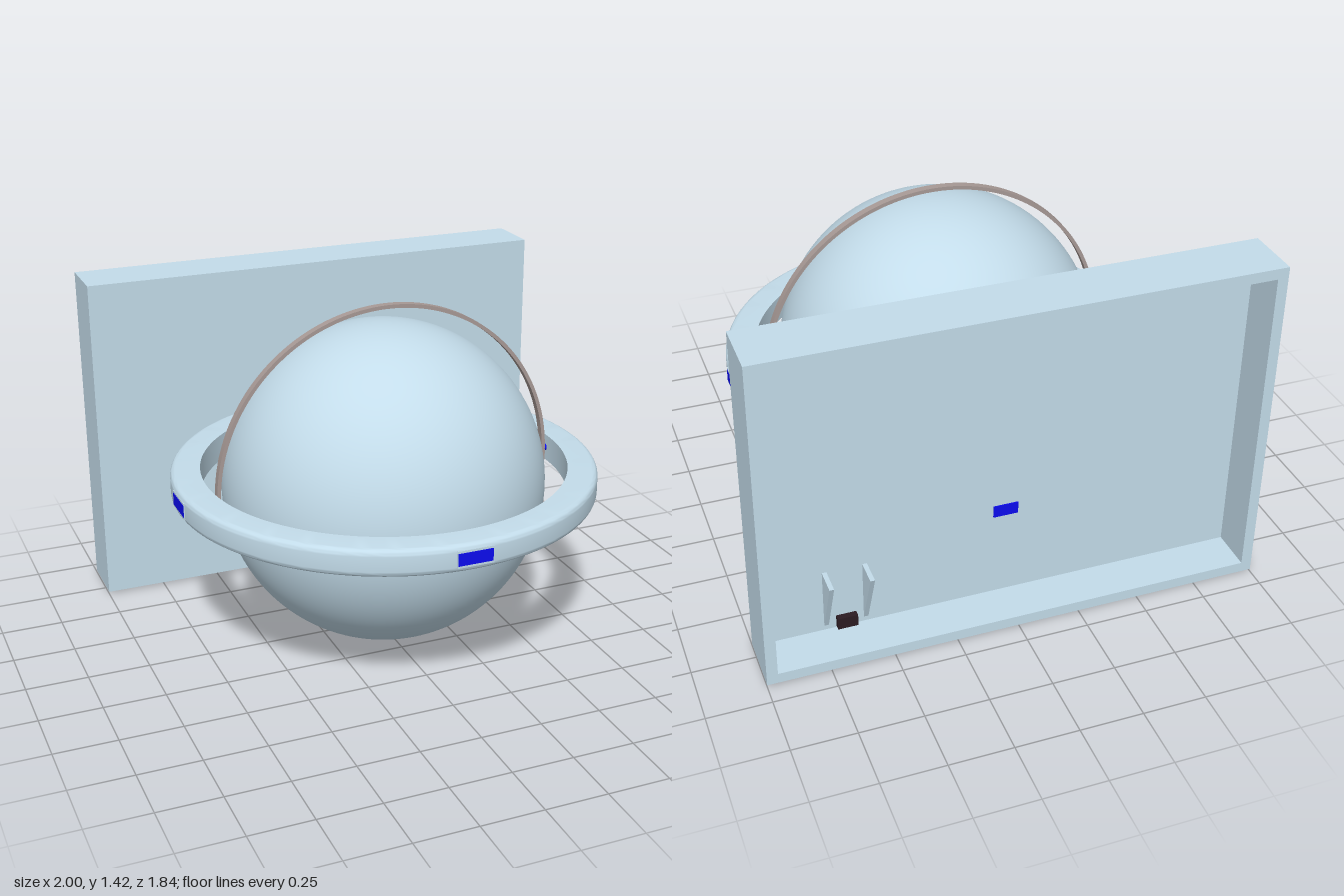
import * as THREE from 'three';
import { toCreasedNormals } from 'three/addons/utils/BufferGeometryUtils.js';

const mat = (color) => new THREE.MeshStandardMaterial({ color, side: THREE.DoubleSide });
const PALE = mat(0xc3dcea), BLUE = mat(0x0c0cf0), BROWN = mat(0xa89a96), GREY = mat(0xcccccc), DARK = mat(0x2c1c22);
const FACE = -0.685; // front face of the back panel

export function createModel() {
  const model = new THREE.Group();

  const add = (name, geo, material, x = 0, y = 0, z = 0, parent = model) => {
    const mesh = new THREE.Mesh(geo, material);
    mesh.name = name;
    mesh.position.set(x, y, z);
    parent.add(mesh);
    return mesh;
  };
  const box = (name, m, w, h, d, x, y, z, parent) =>
    add(name, new THREE.BoxGeometry(w, h, d), m, x, y, z, parent);
  // Cylinder lying along z
  const rod = (name, m, r, len, x, y, z, parent) =>
    add(name, new THREE.CylinderGeometry(r, r, len, 32).rotateX(Math.PI / 2), m, x, y, z, parent);
  // Side profile given as [z, y] points, extruded along x and centred on it
  const sidePlate = (name, m, points, width, x, parent) => {
    const shape = new THREE.Shape(points.map(([z, y]) => new THREE.Vector2(-z, y)));
    const geo = new THREE.ExtrudeGeometry(shape, { depth: width, bevelEnabled: false });
    geo.translate(0, 0, -width / 2).rotateY(Math.PI / 2);
    return add(name, geo, m, x, 0, 0, parent);
  };

  // Back panel: shallow tray, open at the rear
  const panel = new THREE.Group();
  panel.name = 'backPanel';
  model.add(panel);
  box('panelFace', PALE, 2, 1.39, 0.06, 0, 0.705, FACE - 0.03, panel);
  const rect = (P, w, h) => {
    const p = new P();
    p.moveTo(-w, -h); p.lineTo(w, -h); p.lineTo(w, h); p.lineTo(-w, h); p.closePath();
    return p;
  };
  const rim = rect(THREE.Shape, 1, 0.695);
  rim.holes.push(rect(THREE.Path, 0.957, 0.652));
  add('panelRim', new THREE.ExtrudeGeometry(rim, { depth: 0.175, bevelEnabled: false }), PALE, 0, 0.705, -0.92, panel);

  // Large ball with short axle stubs
  add('ball', new THREE.SphereGeometry(0.65, 96, 64), PALE, -0.02, 0.7, 0.095);
  rod('rearAxle', PALE, 0.021, 0.05, -0.02, 0.7, -0.56);
  rod('frontAxle', PALE, 0.012, 0.08, -0.02, 0.7, 0.77);

  // Ring with rounded outer edges, cut flat where it meets the panel
  const profile = [[0.74, 0.65]];
  for (const [cy, start] of [[0.675, -Math.PI / 2], [0.735, 0]])
    for (let i = 0; i <= 6; i++) {
      const a = start + (i / 6) * Math.PI / 2;
      profile.push([0.835 + 0.025 * Math.cos(a), cy + 0.025 * Math.sin(a)]);
    }
  profile.push([0.74, 0.76], [0.74, 0.65]);
  const ringGeo = new THREE.LatheGeometry(profile.map(([r, y]) => new THREE.Vector2(r, y)), 128);
  ringGeo.translate(0, 0, 0.055);
  const pos = ringGeo.attributes.position;
  for (let i = 0; i < pos.count; i++) pos.setZ(i, Math.max(pos.getZ(i), FACE));
  add('ring', toCreasedNormals(ringGeo, 0.6), PALE);

  // Motors set in the ring at the front and both sides
  for (const [name, angle] of [['frontMotor', 0], ['leftMotor', Math.PI / 2], ['rightMotor', -Math.PI / 2]]) {
    const motor = new THREE.Group();
    motor.name = name;
    motor.position.set(0, 0.705, 0.055);
    motor.rotation.y = angle;
    box('motorFrame', PALE, 0.148, 0.068, 0.08, 0, 0, 0.82, motor);
    box('motorBody', BLUE, 0.14, 0.05, 0.115, 0, 0, 0.804, motor);
    rod('motorShaft', BLUE, 0.015, 0.03, 0, 0, 0.733, motor);
    model.add(motor);
  }
  // Cross-shaped horn joining the front motor to the ball
  box('frontHorn', PALE, 0.17, 0.03, 0.012, -0.025, 0.7, 0.766);
  box('frontHornCross', PALE, 0.03, 0.07, 0.012, -0.025, 0.7, 0.766);

  // Thin hoop over the ball: flat strip with a narrow raised centre line
  const hoop = new THREE.Shape();
  hoop.absarc(0, 0, 0.716, 0, Math.PI, false);
  hoop.absarc(0, 0, 0.701, Math.PI, 0, true);
  hoop.closePath();
  const hoopGeo = new THREE.ExtrudeGeometry(hoop, { depth: 0.032, bevelEnabled: false, curveSegments: 64 });
  add('hoop', toCreasedNormals(hoopGeo, 0.5), BROWN, 0, 0.705, 0.064);
  for (const s of [-1, 1]) box('hoopFoot', BROWN, 0.016, 0.05, 0.032, s * 0.709, 0.69, 0.08);

  // Pulley wheel driven by a motor through the panel
  const wheel = [[0, -0.02], [0.128, -0.02], [0.128, -0.013], [0.112, -0.006], [0.128, 0],
    [0.112, 0.006], [0.128, 0.013], [0.128, 0.02], [0, 0.02]].map(([r, y]) => new THREE.Vector2(r, y));
  const wheelGeo = toCreasedNormals(new THREE.LatheGeometry(wheel, 64).rotateX(Math.PI / 2), 0.4);
  add('pulley', wheelGeo, GREY, 0.015, 0.44, -0.612);
  box('pulleyMotor', BLUE, 0.1, 0.05, 0.085, 0, 0.442, -0.707);
  box('pulleyMotorFlange', BLUE, 0.14, 0.05, 0.01, 0, 0.442, -0.685);
  rod('pulleyShaft', BLUE, 0.024, 0.04, 0.015, 0.442, -0.648);

  // Hollow sensor hood low on the panel, with fins on its rear side
  const hood = new THREE.Group();
  hood.name = 'sensorHood';
  model.add(hood);
  for (const x of [0.564, 0.721]) {
    sidePlate('hoodSide', PALE, [[FACE, 0.3], [-0.56, 0.08], [-0.69, 0]], 0.018, x, hood);
    sidePlate('hoodFin', PALE, [[-0.74, 0.33], [-0.85, 0.33], [-0.74, 0.06]], 0.018, x, hood);
  }
  sidePlate('hoodSlope', PALE, [[FACE, 0.3], [-0.56, 0.08], [-0.575, 0.071], [FACE, 0.265]], 0.175, 0.6425, hood);
  const sensor = box('sensor', DARK, 0.115, 0.04, 0.08, 0.6425, 0.06, -0.627, hood);
  sensor.rotation.x = -0.55;
  box('sensorBack', DARK, 0.08, 0.05, 0.03, 0.6425, 0.085, -0.755, hood);

  return model;
}
